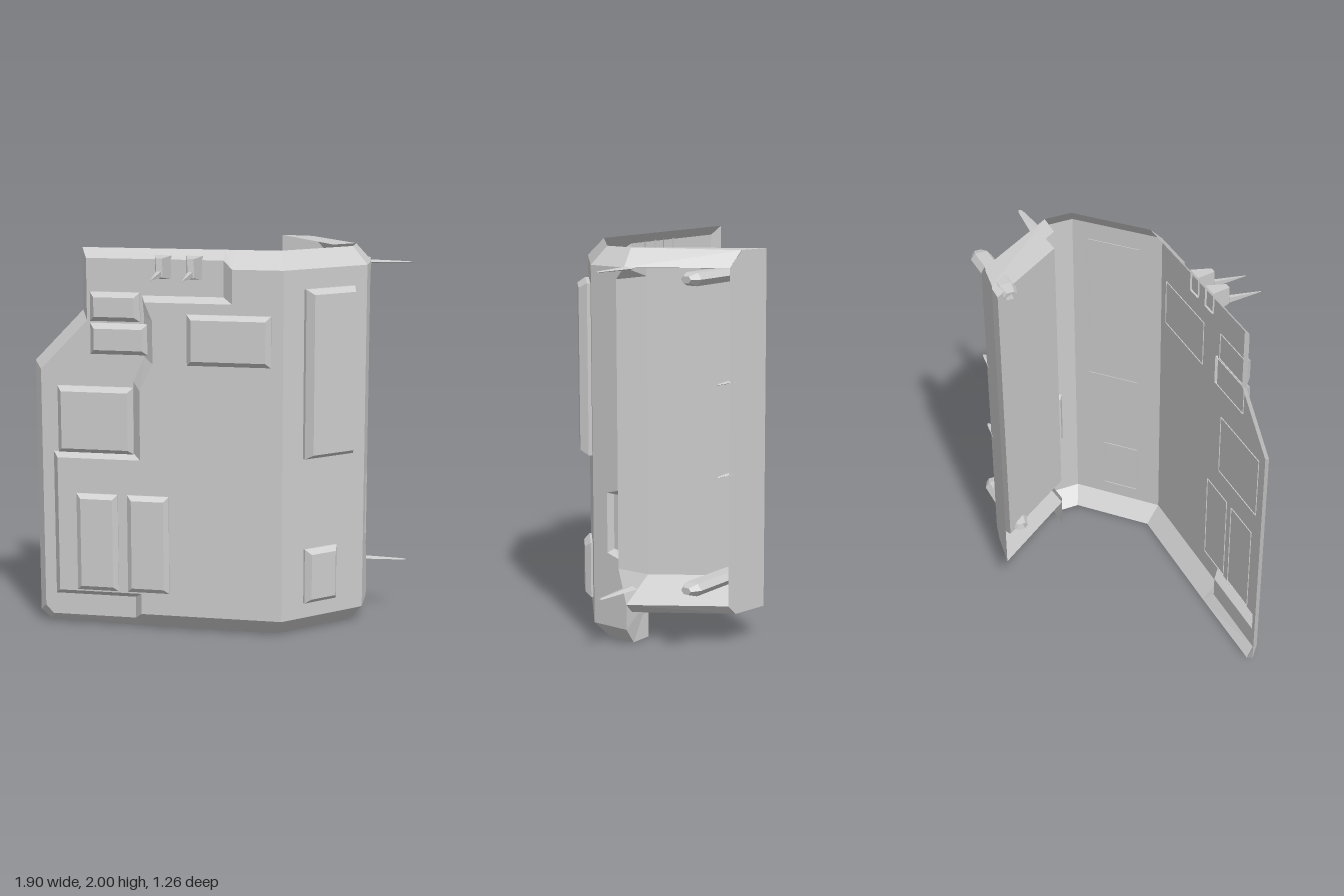
import * as THREE from 'three';

const material = new THREE.MeshStandardMaterial({ color: 0xcccccc, flatShading: true, side: THREE.DoubleSide });

function mesh(name, points, index) {
  const g = new THREE.BufferGeometry();
  g.setAttribute('position', new THREE.Float32BufferAttribute(points.flat(), 3));
  g.setIndex(index);
  const flat = g.toNonIndexed();
  flat.computeVertexNormals();
  const m = new THREE.Mesh(flat, material);
  m.name = name;
  return m;
}

// Skin between successive rows of points; closed joins each row's ends
function loft(name, rows, closed = false, cap = false) {
  const n = rows[0].length, index = [];
  for (let r = 0; r < rows.length - 1; r++) {
    for (let i = 0; i < (closed ? n : n - 1); i++) {
      const a = r * n + i, b = r * n + (i + 1) % n;
      index.push(a, b, b + n, a, b + n, a + n);
    }
  }
  if (cap) {
    const s = (rows.length - 1) * n;
    for (let i = 1; i < n - 1; i++) index.push(s, s + i, s + i + 1);
  }
  return mesh(name, rows.flat(), index);
}

// Flat polygon, triangulated in the plane of axes u and v
function plate(name, pts, u = 0, v = 1) {
  const flat = pts.map(p => new THREE.Vector2(p[u], p[v]));
  const faces = THREE.ShapeUtils.triangulateShape(flat, []);
  return mesh(name, pts, faces.flat());
}

const rect = (x, y, w, h, z) => [
  [x - w / 2, y - h / 2, z], [x + w / 2, y - h / 2, z], [x + w / 2, y + h / 2, z], [x - w / 2, y + h / 2, z]];

// Raised panel with bevelled edges, rising along +z
function panel(name, x0, x1, y0, y1, z0, z1, bevel = 0.025) {
  const x = (x0 + x1) / 2, y = (y0 + y1) / 2, w = x1 - x0, h = y1 - y0;
  return loft(name, [rect(x, y, w, h, z0), rect(x, y, w, h, z0 + (z1 - z0) * 0.35),
    rect(x, y, w - 2 * bevel, h - 2 * bevel, z1)], true, true);
}

export function createModel() {
  const group = new THREE.Group();
  const add = (...parts) => group.add(...parts);
  const low = 0.345, high = 0.385;
  const at = (z, pts) => pts.map(([x, y]) => [x, y, z]);

  // Front wall: lower plate on the left, stepped up to the main plate
  const lowEdge = at(low, [[0.05, 1.95], [0.05, 1.765], [-0.37, 1.765], [-0.36, 1.66], [-0.36, 1.45],
    [-0.42, 1.32], [-0.42, 0.94], [-0.85, 0.94], [-0.85, 0.17], [-0.42, 0.17], [-0.42, 0.055]]);
  const highEdge = at(high, [[0.1, 1.91], [0.1, 1.735], [-0.35, 1.735], [-0.31, 1.64], [-0.31, 1.42],
    [-0.38, 1.28], [-0.38, 0.915], [-0.82, 0.915], [-0.82, 0.2], [-0.38, 0.2], [-0.38, 0.09]]);
  const leftOutline = at(low, [[-0.66, 1.95], [-0.66, 1.63], [-0.91, 1.37], [-0.91, 0.1], [-0.87, 0.055]]);
  add(plate('lowerFrontPlate', [...leftOutline, ...[...lowEdge].reverse()]));
  add(plate('mainFrontPlate', [...highEdge, [0.36, 0.09, high], [0.36, 1.91, high]]));
  add(loft('frontStep', [lowEdge, highEdge]));

  // Chamfered rim all round the wall
  const rimFace = [[0.74, 1.91, -0.17], [0.74, 1.91, 0.04], [0.36, 1.91, high], highEdge[0], lowEdge[0],
    ...leftOutline, lowEdge[10], highEdge[10], [0.36, 0.09, high], [0.74, 0.09, 0.04], [0.74, 0.09, -0.17]];
  const rimBack = [[0.66, 2, -0.15], [0.66, 2, 0], [0.33, 2, 0.3], [0.1, 2, 0.3], [0.05, 2, 0.3],
    [-0.69, 2, 0.3], [-0.69, 1.68, 0.3], [-0.95, 1.41, 0.3], [-0.95, 0.06, 0.3], [-0.89, 0.01, 0.3],
    [-0.42, 0, 0.3], [-0.38, 0, 0.3], [0.33, 0, 0.3], [0.66, 0, 0], [0.66, 0, -0.15]];
  add(loft('wallRim', [rimFace, rimBack]));

  // Angled corner wall and side wall with a small pocket
  add(loft('cornerWall', [[[0.36, 0.09, high], [0.74, 0.09, 0.04]], [[0.36, 1.91, high], [0.74, 1.91, 0.04]]]));
  const side = (z, y, x = 0.74) => [x, y, z];
  add(plate('sideWall', [side(0.04, 0.09), side(-0.17, 0.09), side(-0.17, 0.22), side(-0.12, 0.4),
    side(-0.12, 0.45), side(-0.05, 0.47), side(-0.05, 0.78), side(-0.12, 0.8), side(-0.12, 1.85),
    side(-0.17, 1.91), side(0.04, 1.91)], 2, 1));
  add(loft('sidePocket', [
    [side(-0.12, 0.45), side(-0.05, 0.47), side(-0.05, 0.78), side(-0.12, 0.8)],
    [side(-0.12, 0.48, 0.71), side(-0.07, 0.49, 0.71), side(-0.07, 0.77, 0.71), side(-0.12, 0.77, 0.71)]], false, true));

  // Rear angled bay: recess, top, underside and end faces
  const lip = [[0.74, 1.91, -0.17], [0.74, 1.85, -0.12], [0.74, 0.4, -0.12], [0.74, 0.22, -0.17],
    [0.45, 0.22, -0.59], [0.45, 1.91, -0.59]];
  const floor = [[0.54, 1.89, -0.15], [0.54, 1.85, -0.15], [0.54, 0.4, -0.15], [0.54, 0.33, -0.15],
    [0.235, 0.33, -0.59], [0.235, 1.89, -0.59]];
  add(loft('bayRecess', [lip, floor], true, true));
  add(loft('bayTop', [[lip[0], lip[5]], [[0.66, 2, -0.15], [0.37, 1.99, -0.6]],
    [[0.54, 1.99, -0.15], [0.2, 1.99, -0.63]]]));
  add(loft('bayUnderside', [[lip[3], lip[4]], [[0.69, 0.17, -0.165], [0.4, 0.17, -0.598]],
    [[0.54, 0.17, -0.15], [0.2, 0.17, -0.63]]]));
  add(plate('bayEnd', [lip[5], [0.37, 1.99, -0.603], [0.2, 1.99, -0.63], [0.2, 0.17, -0.63],
    [0.4, 0.17, -0.598], lip[4]]));
  add(plate('lowerRearFace', [lip[3], [0.74, 0.09, -0.17], [0.66, 0, -0.15], [0.54, 0, -0.15], [0.54, 0.2, -0.15]]));

  // Raised panels on the front
  [[-0.64, -0.38, 1.63, 1.78, low, 0.385], [-0.64, -0.34, 1.46, 1.62, low, 0.39],
    [-0.82, -0.42, 0.94, 1.29, low, 0.39], [-0.72, -0.5, 0.21, 0.73, high, 0.413],
    [-0.45, -0.23, 0.21, 0.73, high, 0.413], [-0.13, 0.3, 1.42, 1.68, high, 0.42]]
    .forEach(([x0, x1, y0, y1, z0, z1]) => add(panel('frontPanel', x0, x1, y0, y1, z0 - 0.005, z1)));

  // Raised panels on the angled corner
  [[0.565, 0.2, 0.3, 0.94, 1.81, 0.058], [0.535, 0.226, 0.2, 0.17, 0.46, 0.04]]
    .forEach(([x, z, w, y0, y1, depth]) => {
      const p = panel('cornerPanel', -w / 2, w / 2, y0, y1, -0.005, depth);
      p.position.set(x, 0, z);
      p.rotation.y = 0.737;
      add(p);
    });

  // Front spikes on tapered mounts
  for (const x of [-0.26, -0.1]) {
    add(loft('frontSpike', [rect(x, 1.91, 0.085, 0.12, 0.335), rect(x, 1.917, 0.035, 0.095, 0.44),
      rect(x, 1.885, 0.024, 0.03, 0.445), rect(x, 1.878, 0.003, 0.003, 0.63)], true, true));
  }

  // Side spikes: diamond sections along +x
  const diamond = (x, y, z, a, b) => [[x, y, z - a], [x, y + b, z], [x, y, z + a], [x, y - b, z]];
  const spike = (y, z, x0, x1, a) => loft('sideSpike', [diamond(x0, y, z, a, 0.01),
    diamond(x0 + (x1 - x0) * 0.9, y, z, a * 0.4, 0.004), diamond(x1, y, z, a * 0.25, 0.002)], true, true);
  for (const y of [0.3, 1.905]) add(spike(y, -0.175, 0.7, 0.95, 0.036));
  for (const y of [0.89, 1.35]) add(spike(y, -0.575, 0.36, 0.53, 0.028));

  // Blunt six-sided rods at the top and bottom of the bay
  const hex = (x, y, s) => [[-0.06, 0], [-0.035, 0.032], [0.035, 0.032], [0.06, 0], [0.03, -0.035], [-0.03, -0.035]]
    .map(([z, h]) => [x, y + h * s, -0.515 + z * s]);
  for (const y of [0.345, 1.87]) {
    add(loft('bayRod', [hex(0.25, y, 0.6), hex(0.32, y, 0.95), hex(0.65, y, 0.95), hex(0.7, y, 0.5)], true, true));
  }
  return group;
}
